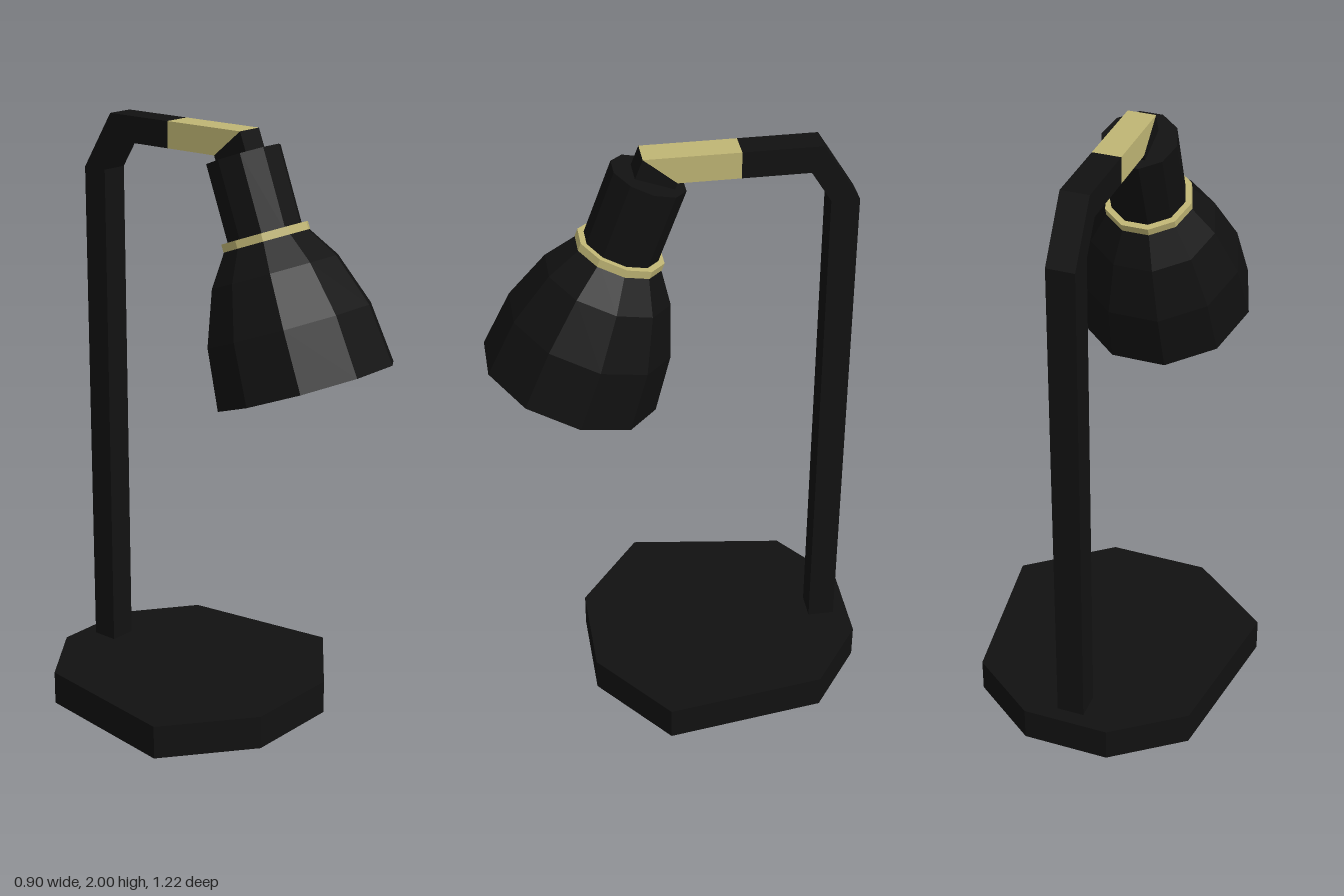
import * as THREE from 'three';

const mat = (color) => new THREE.MeshStandardMaterial({ color, flatShading: true, side: THREE.DoubleSide });
const black = mat(0x111111);
const gold = mat(0xbfb574);
const grey = mat(0xcccccc);

const toShape = (pts) => new THREE.Shape(pts.map(([a, b]) => new THREE.Vector2(a, b)));

function addMesh(parent, name, geometry, material) {
  const mesh = new THREE.Mesh(geometry, material);
  mesh.name = name;
  parent.add(mesh);
  return mesh;
}

// Side outline given as [z, y], extruded symmetrically across x
function sideProfile(pts, width) {
  const g = new THREE.ExtrudeGeometry(toShape(pts), { depth: width, bevelEnabled: false });
  return g.translate(0, 0, -width / 2).rotateY(-Math.PI / 2);
}

// Ten-sided turned form with corners on the x axis, points as [radius, height]
const turned = (pts) =>
  new THREE.LatheGeometry(pts.map(([r, y]) => new THREE.Vector2(r, y)), 10, Math.PI / 2);

export function createModel() {
  const lamp = new THREE.Group();
  lamp.name = 'deskLamp';

  // Eight-sided base slab, right half mirrored to the left
  const half = [[0.145, -0.61], [0.375, -0.44], [0.45, 0.09], [0.17, 0.31]];
  const outline = [...half, ...half.map(([x, z]) => [-x, z]).reverse()].map(([x, z]) => [x, -z]);
  const base = new THREE.ExtrudeGeometry(toShape(outline), { depth: 0.115, bevelEnabled: false });
  addMesh(lamp, 'base', base.rotateX(-Math.PI / 2), black);

  // Post with a chamfered elbow, gold sleeve and short bent neck
  addMesh(lamp, 'post', sideProfile([
    [-0.56, 0.1], [-0.47, 0.1], [-0.47, 1.81], [-0.405, 1.913], [-0.19, 1.913],
    [-0.19, 2], [-0.44, 2], [-0.56, 1.81],
  ], 0.092), black);
  addMesh(lamp, 'armSleeve', sideProfile([[-0.19, 1.913], [0.005, 1.913], [0.11, 2], [-0.19, 2]], 0.092), gold);
  addMesh(lamp, 'neck', sideProfile([[0.005, 1.913], [0.11, 2], [0.135, 1.935], [0.125, 1.87], [0.03, 1.85]], 0.092), black);

  // Tilted head, with its origin at the centre of the shade opening
  const head = new THREE.Group();
  head.name = 'head';
  head.position.set(0, 1.217, 0.347);
  head.rotation.x = -0.355;
  lamp.add(head);

  const shade = [[0.295, 0], [0.273, 0.2], [0.21, 0.373], [0.137, 0.48]];
  addMesh(head, 'shade', turned([[0.288, 0], ...shade, [0.1, 0.485]]), black);
  const lining = shade.map(([r, y]) => [r - 0.007, y - (y > 0.4 ? 0.012 : 0)]).reverse();
  addMesh(head, 'shadeLining', turned([[0, 0.468], ...lining]), gold);
  addMesh(head, 'collarRing', turned([[0.11, 0.472], [0.144, 0.472], [0.144, 0.498], [0.11, 0.498]]), gold);
  addMesh(head, 'socket', turned([[0.123, 0.475], [0.123, 0.75], [0, 0.75]]), black);

  // Bulb hanging inside the shade
  const bulb = addMesh(head, 'bulb', new THREE.SphereGeometry(0.125, 8, 6), grey);
  bulb.position.y = 0.132;
  const stem = addMesh(head, 'bulbStem', new THREE.CylinderGeometry(0.06, 0.08, 0.25, 8), grey);
  stem.position.y = 0.345;

  return lamp;
}
